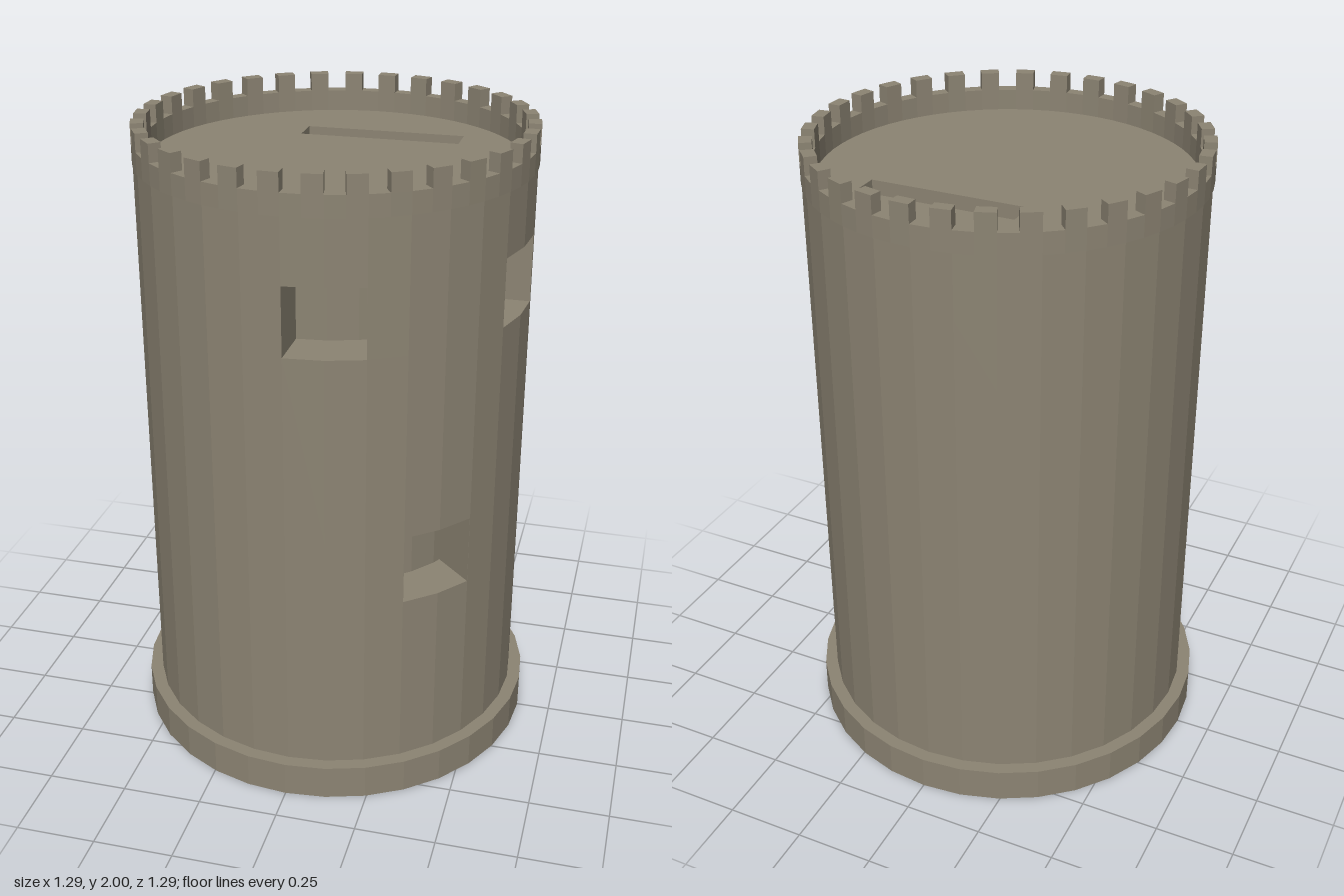
import * as THREE from 'three';

const SIDES = 32, STEP = (Math.PI * 2) / SIDES;
const R = 0.602, CORE = 0.457;

// angle t runs from +z (front) toward +x; shape y is world -z
const at = (t, r) => new THREE.Vector2(r * Math.sin(t), -r * Math.cos(t));

// point on the flat-sided ring of radius r at any angle
function onRing(t, r) {
  const local = ((t % STEP) + STEP) % STEP;
  return at(t, (r * Math.cos(STEP / 2)) / Math.cos(local - STEP / 2));
}

const circle = (r, n) => Array.from({ length: n }, (_, i) => at((i / n) * Math.PI * 2, r));

// outline of the tower with window notches { dir, a, b } cut in to the core
function notchedRing(notches) {
  const pts = [], eps = 1e-4;
  let cursor = -1e-6;
  const walk = (end) => {
    for (let i = 0; i < SIDES; i++) {
      const t = i * STEP;
      if (t > cursor + eps * (cursor > 0) && t < end - eps) pts.push(at(t, R));
    }
  };
  for (const { dir, a, b } of notches) {
    const t0 = dir + Math.asin(a / R), t1 = dir + Math.asin(b / R);
    walk(t0);
    const i0 = dir + Math.asin(a / CORE), i1 = dir + Math.asin(b / CORE);
    pts.push(onRing(t0, R), onRing(i0, CORE));
    for (let t = Math.ceil(i0 / STEP + 0.01) * STEP; t < i1 - 0.01; t += STEP) pts.push(at(t, CORE));
    pts.push(onRing(i1, CORE), onRing(t1, R));
    cursor = t1;
  }
  walk(Math.PI * 2);
  return pts;
}

// upright prism between two heights, with optional holes
function prism(name, material, outline, y0, y1, holes = []) {
  const shape = new THREE.Shape(outline);
  for (const h of holes) shape.holes.push(new THREE.Path(h));
  const geo = new THREE.ExtrudeGeometry(shape, { depth: y1 - y0, bevelEnabled: false, curveSegments: 1 });
  geo.rotateX(-Math.PI / 2).translate(0, y0, 0);
  const mesh = new THREE.Mesh(geo, material);
  mesh.name = name;
  return mesh;
}

export function createModel() {
  const model = new THREE.Group();
  model.name = 'tower';
  const stone = new THREE.MeshStandardMaterial({ color: 0x8c8473 });
  stone.name = 'stone';

  // base flange with a recess underneath
  model.add(prism('baseFlange', stone, circle(0.643, SIDES), 0, 0.11, [circle(0.602, SIDES)]));

  // ribbed plug inside the recess
  const ribs = Array.from({ length: 128 }, (_, i) => at((i / 128) * Math.PI * 2, i % 2 ? 0.45 : 0.472));
  model.add(prism('ribbedPlug', stone, ribs, 0.003, 0.11));

  // wall courses, two of them opened by windows
  const quarter = Math.PI / 2;
  const low = [{ dir: quarter / 2, a: -0.1165, b: 0.1165 }];
  const high = [{ dir: 0, a: 0, b: 0.23 }, { dir: quarter, a: -0.23, b: 0 }];
  const full = circle(R, SIDES);
  model.add(
    prism('lowerWall', stone, full, 0.11, 0.675),
    prism('lowerWindowCourse', stone, notchedRing(low), 0.675, 0.895),
    prism('middleWall', stone, full, 0.895, 1.475),
    prism('upperWindowCourse', stone, notchedRing(high), 1.475, 1.685)
  );

  // roof course with the long slot
  const slot = [[-0.17, 0.225], [0.33, 0.225], [0.33, 0.32], [-0.17, 0.32]].map(([x, y]) => new THREE.Vector2(x, y));
  model.add(prism('roofWithSlot', stone, full, 1.685, 1.88, [slot]));

  // parapet and its battlements
  const outer = 0.604, inner = 0.565, half = STEP / 2;
  model.add(prism('parapet', stone, circle(outer, 64), 1.88, 1.945, [circle(inner, 64)]));
  const battlements = new THREE.Group();
  battlements.name = 'battlements';
  for (let i = 0; i < SIDES; i++) {
    const t0 = i * STEP + half, t1 = t0 + half;
    battlements.add(prism('merlon', stone, [at(t0, inner), at(t0, outer), at(t1, outer), at(t1, inner)], 1.945, 2));
  }
  model.add(battlements);
  return model;
}
